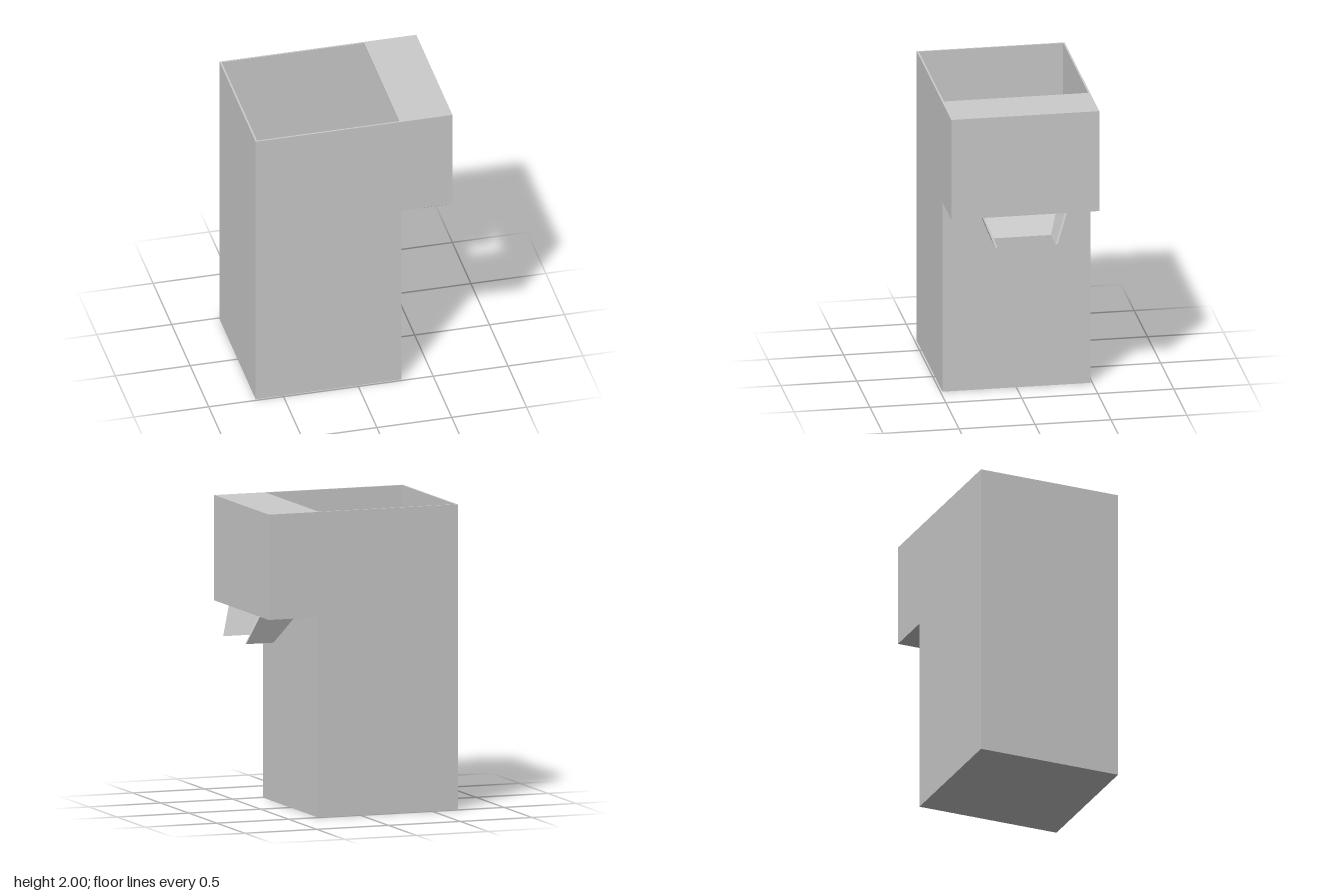
import * as THREE from 'three';
import { ConvexGeometry } from 'three/addons/geometries/ConvexGeometry.js';

const T = 0.012;                                  // sheet thickness
const X0 = -0.683, X1 = 0.292, X2 = 0.632;        // back, column face, overhang face
const Z = 0.487, TOP = 2, SHELF = 1.31;

export function createModel() {
  const group = new THREE.Group();
  const material = new THREE.MeshStandardMaterial({ color: 0xcccccc, flatShading: true });

  const add = (name, geometry) => {
    const mesh = new THREE.Mesh(geometry, material);
    mesh.name = name;
    group.add(mesh);
    return mesh;
  };
  // Box given by its two extreme corners
  const panel = (name, [xa, ya, za], [xb, yb, zb]) =>
    add(name, new THREE.BoxGeometry(xb - xa, yb - ya, zb - za)
      .translate((xa + xb) / 2, (ya + yb) / 2, (za + zb) / 2));
  const outline = (points) => new THREE.Shape(points.map(([x, y]) => new THREE.Vector2(x, y)));
  const sheet = (shape) => new THREE.ExtrudeGeometry(shape, { depth: T, bevelEnabled: false });
  const solid = (name, points) =>
    add(name, new ConvexGeometry(points.map((p) => new THREE.Vector3(...p))));

  // Two L-shaped side walls
  const wall = outline([[X0, 0], [X1, 0], [X1, SHELF], [X2, SHELF], [X2, TOP], [X0, TOP]]);
  add('frontWall', sheet(wall).translate(0, 0, Z - T));
  add('backWall', sheet(wall).translate(0, 0, -Z));

  // Column and overhang panels between the side walls
  const zi = Z - T;
  panel('outerWall', [X0, 0, -zi], [X0 + T, TOP, zi]);
  panel('floor', [X0 + T, 0, -zi], [X1 - T, T, zi]);
  panel('columnWall', [X1 - T, 0, -zi], [X1, SHELF + T, zi]);
  panel('overhangWall', [X2 - T, SHELF, -zi], [X2, TOP, zi]);
  panel('overhangLid', [X1 - T, TOP - T, -zi], [X2 - T, TOP, zi]);

  // Overhang floor with the outlet opening
  const shelf = outline([[X1, -zi], [X2 - T, -zi], [X2 - T, zi], [X1, zi]]);
  shelf.holes.push(outline([[0.365, -0.266], [0.365, 0.266], [0.61, 0.266], [0.61, -0.266]]));
  add('overhangFloor', sheet(shelf).rotateX(Math.PI / 2).translate(0, SHELF + T, 0));

  // Open-fronted chute: a sloped back plate and two leaning cheeks
  const low = 1.117, w = 0.014;
  const backPlate = [];
  for (const s of [-1, 1]) {
    const cheek = [];
    for (const d of [0, w]) {
      cheek.push([0.35, SHELF, s * (0.28 - d)], [0.61, SHELF, s * (0.28 - d)],
        [0.68, low, s * (0.205 - d)], [0.49, low, s * (0.205 - d)]);
      backPlate.push([0.35 + d, SHELF, s * 0.27], [0.49 + d, low, s * 0.195]);
    }
    solid(s > 0 ? 'chuteFrontCheek' : 'chuteBackCheek', cheek);
  }
  solid('chuteBackPlate', backPlate);

  return group;
}
